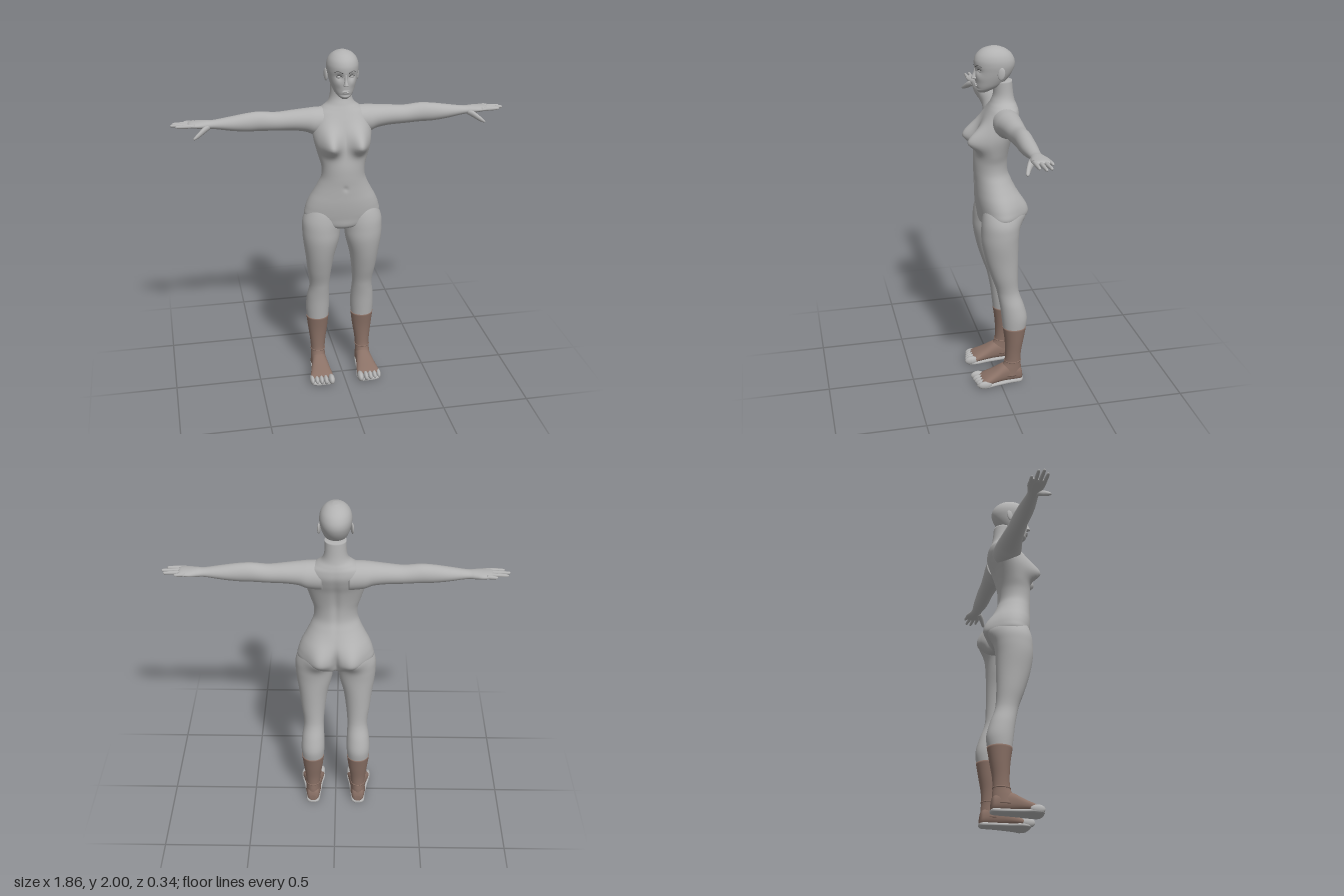
import * as THREE from 'three';

const skin = new THREE.MeshStandardMaterial({ color: 0xb2b2b2 });
skin.name = 'grey skin';
const leather = new THREE.MeshStandardMaterial({ color: 0x8a7166 });
leather.name = 'brown leather';
const dark = new THREE.MeshStandardMaterial({ color: 0x4a4a4a });
dark.name = 'dark grey';

// Smooth loft along axis k (0 x, 1 y, 2 z), stations ascending.
// Each section is [station, aMin, aMax, bMin, bMax] on the next two axes in cyclic order.
function loft(k, sections, { sides = 32, steps = 6, power = 1, sculpt = null } = {}) {
  const pos = [], index = [], rows = (sections.length - 1) * steps + 1;
  const put = (t, a, b) => {
    const p = [0, 0, 0];
    p[k] = t; p[(k + 1) % 3] = a; p[(k + 2) % 3] = b;
    const v = new THREE.Vector3(...p);
    if (sculpt) sculpt(v);
    pos.push(v.x, v.y, v.z);
  };
  const bend = (v) => Math.sign(v) * Math.abs(v) ** power;
  const at = (i) => sections[Math.min(Math.max(i, 0), sections.length - 1)];
  const ends = [];
  for (let r = 0; r < rows; r++) {
    const i = Math.min(Math.floor(r / steps), sections.length - 2), u = r / steps - i;
    const [p, q, s, w] = [at(i - 1), at(i), at(i + 1), at(i + 2)];
    const m = q.map((v, c) => 0.5 * (2 * v + (s[c] - p[c]) * u
      + (2 * p[c] - 5 * v + 4 * s[c] - w[c]) * u * u + (3 * v - p[c] - 3 * s[c] + w[c]) * u ** 3));
    const [t, a0, a1, b0, b1] = m;
    for (let j = 0; j < sides; j++) {
      const h = (j / sides) * Math.PI * 2;
      put(t, (a0 + a1) / 2 + (a1 - a0) / 2 * bend(Math.cos(h)), (b0 + b1) / 2 + (b1 - b0) / 2 * bend(Math.sin(h)));
    }
    if (r === 0 || r === rows - 1) ends.push([t, (a0 + a1) / 2, (b0 + b1) / 2]);
  }
  const base = rows * sides;
  ends.forEach((e) => put(...e));
  for (let j = 0; j < sides; j++) {
    const n = (j + 1) % sides, top = (rows - 1) * sides;
    for (let r = 0; r < rows - 1; r++) {
      const a = r * sides + j, b = r * sides + n;
      index.push(a, b, a + sides, b, b + sides, a + sides);
    }
    index.push(base, n, j, base + 1, top + j, top + n);
  }
  const g = new THREE.BufferGeometry();
  g.setAttribute('position', new THREE.Float32BufferAttribute(pos, 3));
  g.setIndex(index);
  g.computeVertexNormals();
  return g;
}

function ellipsoid(x, y, z, rx, ry, rz) {
  return new THREE.SphereGeometry(1, 24, 16).scale(rx, ry, rz).translate(x, y, z);
}

function tube(points, radius) {
  const curve = new THREE.CatmullRomCurve3(points.map((p) => new THREE.Vector3(...p)));
  return new THREE.TubeGeometry(curve, 16, radius, 6);
}

// Copy of a geometry reflected to the other side of the body.
function mirrored(g) {
  const m = g.clone().scale(-1, 1, 1), ix = m.index.array;
  for (let i = 0; i < ix.length; i += 3) [ix[i], ix[i + 1]] = [ix[i + 1], ix[i]];
  m.computeVertexNormals();
  return m;
}

const bell = (d, s) => Math.exp(-((d / s) ** 2));

// Soft forms of chest, seat, spine and belly pushed into the lofted body.
function sculptBody(v) {
  const ax = Math.abs(v.x), { y } = v;
  if (v.z > 0) {
    const front = Math.min(1, v.z / 0.04);
    v.z += front * 0.08 * bell(ax - 0.083, 0.052) * bell(y - 1.49, y > 1.49 ? 0.08 : 0.05);
    v.z -= front * 0.006 * bell(v.x, 0.012) * bell(y - 1.24, 0.014);
  } else {
    const back = Math.min(1, Math.max(0, (-v.z - 0.01) / 0.06));
    v.z -= back * 0.052 * bell(ax - 0.095, 0.07) * bell(y - 1.07, y > 1.07 ? 0.1 : 0.06);
    v.z += back * 0.022 * bell(v.x, 0.014) * bell(y - 1.06, 0.07);
    v.z += back * 0.01 * bell(v.x, 0.02) * bell(y - 1.42, 0.16);
  }
}

// Eye sockets and cheeks.
function sculptHead(v) {
  if (v.z < 0.03) return;
  const ax = Math.abs(v.x);
  v.z -= 0.012 * bell(ax - 0.033, 0.018) * bell(v.y - 1.875, 0.016);
  v.z += 0.004 * bell(ax - 0.04, 0.02) * bell(v.y - 1.835, 0.02);
  v.z -= 0.005 * bell(v.x, 0.03) * bell(v.y - 1.774, 0.006);
}

export function createModel() {
  const model = new THREE.Group();
  const add = (name, geometry, material = skin) => {
    const mesh = new THREE.Mesh(geometry, material);
    mesh.name = name;
    model.add(mesh);
  };
  const pair = (name, geometry, material = skin) => {
    add('left ' + name, geometry, material);
    add('right ' + name, mirrored(geometry), material);
  };
  // Section centred on x = 0: height, back, front, half width.
  const centred = (rows) => rows.map(([y, b, f, w]) => [y, b, f, -w, w]);

  // Torso and neck
  add('torso', loft(1, centred([
    [0.975, -0.06, 0.05, 0.05], [1.0, -0.11, 0.09, 0.15], [1.05, -0.128, 0.1, 0.213],
    [1.1, -0.132, 0.108, 0.21], [1.15, -0.125, 0.113, 0.192], [1.2, -0.108, 0.115, 0.165],
    [1.25, -0.088, 0.117, 0.14], [1.3, -0.07, 0.12, 0.122], [1.36, -0.067, 0.12, 0.123],
    [1.42, -0.073, 0.113, 0.14], [1.5, -0.092, 0.1, 0.16], [1.56, -0.115, 0.085, 0.165],
    [1.61, -0.13, 0.065, 0.16], [1.65, -0.128, 0.045, 0.14], [1.675, -0.12, 0.032, 0.105],
    [1.7, -0.11, 0.02, 0.074], [1.74, -0.102, 0.008, 0.06], [1.81, -0.095, 0.01, 0.058],
  ]), { sides: 96, sculpt: sculptBody }));

  // Head and face
  add('head', loft(1, centred([
    [1.75, 0.045, 0.09, 0.018], [1.765, 0.01, 0.102, 0.038], [1.785, -0.03, 0.104, 0.053],
    [1.81, -0.06, 0.106, 0.064], [1.84, -0.085, 0.108, 0.074], [1.87, -0.102, 0.11, 0.081],
    [1.9, -0.11, 0.113, 0.086], [1.93, -0.106, 0.112, 0.085], [1.96, -0.088, 0.098, 0.074],
    [1.985, -0.055, 0.068, 0.05], [1.999, -0.015, 0.025, 0.015],
  ]), { sides: 96, sculpt: sculptHead }));
  add('nose', loft(1, centred([
    [1.822, 0.09, 0.112, 0.009], [1.829, 0.09, 0.129, 0.015], [1.838, 0.09, 0.128, 0.012],
    [1.86, 0.09, 0.118, 0.008], [1.89, 0.09, 0.112, 0.008],
  ])));
  add('upper lip', ellipsoid(0, 1.797, 0.102, 0.022, 0.005, 0.011));
  add('lower lip', ellipsoid(0, 1.788, 0.101, 0.018, 0.006, 0.011));
  pair('eye', ellipsoid(0.033, 1.873, 0.082, 0.016, 0.009, 0.014));
  pair('eyelash', tube([[0.017, 1.874, 0.102], [0.033, 1.882, 0.094], [0.05, 1.876, 0.085]], 0.0018), dark);
  pair('eyebrow', tube([[0.015, 1.895, 0.111], [0.038, 1.905, 0.1], [0.058, 1.898, 0.083]], 0.002), dark);
  pair('ear', ellipsoid(0, 0, 0, 0.008, 0.034, 0.02).rotateY(-0.3).rotateX(-0.15).translate(0.087, 1.863, -0.018));

  // Arm running into the palm
  pair('arm', loft(0, [
    [0.07, 1.51, 1.675, -0.12, 0.04], [0.15, 1.52, 1.673, -0.117, 0.036], [0.2, 1.54, 1.669, -0.11, 0.026],
    [0.27, 1.55, 1.663, -0.104, 0.014], [0.36, 1.553, 1.656, -0.098, 0.004], [0.45, 1.557, 1.664, -0.094, 0],
    [0.52, 1.558, 1.659, -0.091, 0], [0.6, 1.567, 1.647, -0.087, -0.003], [0.7, 1.584, 1.632, -0.078, -0.014],
    [0.74, 1.586, 1.632, -0.085, -0.01], [0.78, 1.592, 1.631, -0.097, -0.002],
    [0.825, 1.6, 1.628, -0.096, -0.002], [0.84, 1.608, 1.62, -0.085, -0.012],
  ], { sides: 40 }));

  // Fingers: root z, tip z, tip x
  [[-0.085, -0.092, 0.86], [-0.062, -0.07, 0.92], [-0.038, -0.042, 0.932], [-0.013, -0.014, 0.905]]
    .forEach(([z0, z1, tip], i) => {
      const ring = (x, z, r, y = 1.614) => [x, y - r, y + r, z - r, z + r];
      pair('finger ' + (i + 1), loft(0, [
        ring(0.8, z0, 0.011), ring((0.8 + tip) / 2, (z0 + z1) / 2, 0.0105), ring(tip - 0.012, z1, 0.008),
        ring(tip - 0.003, z1, 0.005), ring(tip, z1, 0.001),
      ], { sides: 14, steps: 4 }));
    });
  pair('thumb', loft(0, [
    [0.72, 1.588, 1.618, -0.045, -0.015], [0.75, 1.572, 1.61, -0.03, 0.006], [0.78, 1.556, 1.588, -0.006, 0.02],
    [0.805, 1.547, 1.566, 0.009, 0.028], [0.815, 1.55, 1.555, 0.018, 0.024],
  ], { sides: 16 }));

  // Legs
  pair('leg', loft(1, [
    [0.34, -0.15, -0.022, 0.073, 0.197], [0.42, -0.161, -0.013, 0.066, 0.203], [0.5, -0.143, -0.003, 0.067, 0.198],
    [0.57, -0.118, 0.01, 0.07, 0.187], [0.62, -0.108, 0.022, 0.068, 0.188], [0.7, -0.105, 0.05, 0.06, 0.2],
    [0.8, -0.106, 0.08, 0.045, 0.212], [0.9, -0.108, 0.1, 0.02, 0.226], [0.97, -0.112, 0.102, 0.012, 0.23],
    [1.03, -0.112, 0.098, 0.005, 0.226], [1.09, -0.1, 0.085, 0.01, 0.2], [1.14, -0.06, 0.06, 0.04, 0.16],
  ], { sides: 64, sculpt: sculptBody }));

  // Boots: shaft, ankle seam and foot upper, with a grey sole and bare toes
  pair('boot shaft', loft(1, [
    [0.05, -0.13, 0.01, 0.092, 0.183], [0.1, -0.128, -0.01, 0.095, 0.18], [0.14, -0.125, -0.03, 0.095, 0.178],
    [0.2, -0.128, -0.034, 0.09, 0.182], [0.28, -0.142, -0.03, 0.078, 0.192], [0.365, -0.157, -0.018, 0.068, 0.202],
  ], { sides: 40 }), leather);
  pair('ankle seam', new THREE.TorusGeometry(1, 0.06, 8, 40).rotateX(Math.PI / 2)
    .scale(0.042, 0.06, 0.048).translate(0.1365, 0.14, -0.0775), leather);
  pair('boot foot', loft(2, [
    [-0.134, 0.12, 0.155, 0.02, 0.06], [-0.12, 0.102, 0.173, 0.012, 0.1], [-0.07, 0.093, 0.18, 0.01, 0.125],
    [-0.02, 0.09, 0.183, 0.01, 0.118], [0.04, 0.081, 0.197, 0.01, 0.086], [0.09, 0.074, 0.209, 0.01, 0.062],
    [0.115, 0.078, 0.206, 0.012, 0.048],
  ], { sides: 40, power: 0.85 }), leather);
  pair('sole', loft(2, [
    [-0.138, 0.12, 0.155, 0.008, 0.02], [-0.12, 0.1, 0.176, 0, 0.026], [-0.06, 0.092, 0.182, 0, 0.026],
    [0.03, 0.082, 0.198, 0, 0.026], [0.09, 0.07, 0.213, 0, 0.028], [0.13, 0.073, 0.207, 0, 0.026],
    [0.145, 0.085, 0.18, 0.006, 0.018],
  ], { sides: 40, power: 0.7 }));
  for (let i = 0; i < 5; i++) {
    const big = i === 0;
    pair('toe ' + (i + 1), ellipsoid(big ? 0.088 : 0.095 + i * 0.0265, big ? 0.031 : 0.029 - i * 0.001,
      0.126 - i * 0.006, big ? 0.019 : 0.0145, big ? 0.027 : 0.024, 0.04));
  }
  return model;
}
